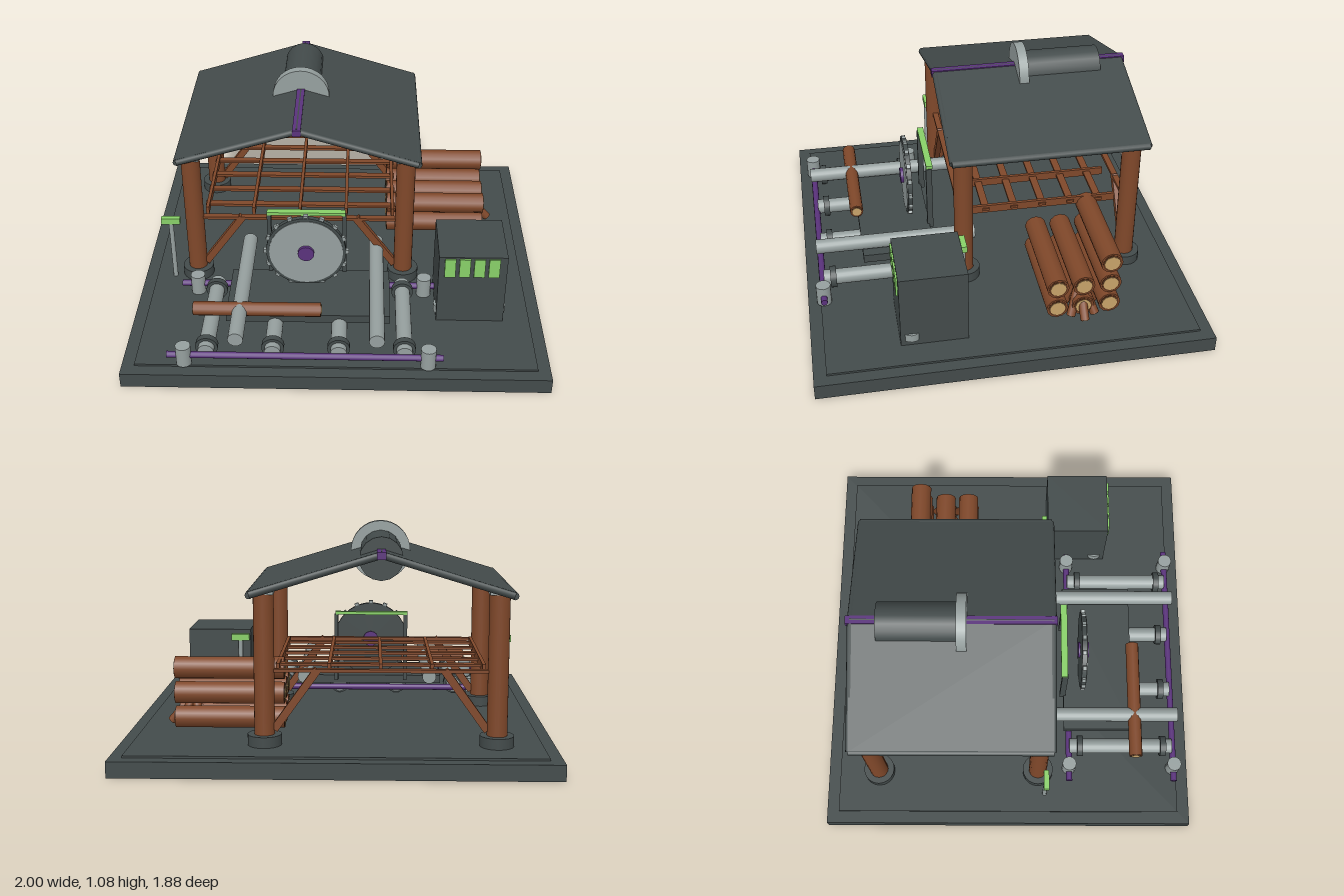
import * as THREE from 'three';

const paint = (name, color) => {
  const m = new THREE.MeshStandardMaterial({ color });
  m.name = name;
  return m;
};

export function createModel() {
  const root = new THREE.Group();
  root.name = 'sawmill';
  const dark = paint('dark slate', 0x434b4b);
  const wood = paint('brown wood', 0x80482a);
  const bark = paint('dark bark', 0x5a341c);
  const tan = paint('cut wood', 0xc8a46a);
  const grey = paint('light metal', 0x96a09f);
  const purple = paint('purple metal', 0x5a327c);
  const green = paint('green', 0x88d068);

  const add = (name, geo, mat, x = 0, y = 0, z = 0, parent = root) => {
    const m = new THREE.Mesh(geo, mat);
    m.name = name;
    m.position.set(x, y, z);
    parent.add(m);
    return m;
  };
  // Box given by its limits on each axis
  const box = (name, mat, x0, x1, y0, y1, z0, z1) =>
    add(name, new THREE.BoxGeometry(x1 - x0, y1 - y0, z1 - z0), mat,
      (x0 + x1) / 2, (y0 + y1) / 2, (z0 + z1) / 2);
  // Cylinder between two points
  const rod = (name, mat, a, b, r, sides = 16) => {
    const p = new THREE.Vector3(...a), q = new THREE.Vector3(...b);
    const d = q.clone().sub(p);
    const m = add(name, new THREE.CylinderGeometry(r, r, d.length(), sides), mat);
    m.position.copy(p.add(q).multiplyScalar(0.5));
    m.quaternion.setFromUnitVectors(new THREE.Vector3(0, 1, 0), d.normalize());
    return m;
  };
  // Log with bark rims and pale cut ends
  const log = (name, a, b, r) => {
    const p = new THREE.Vector3(...a), q = new THREE.Vector3(...b);
    const d = q.clone().sub(p).normalize();
    const at = (v, s) => v.clone().addScaledVector(d, s).toArray();
    rod(name, wood, a, b, r, 12);
    rod(name + 'Rim', bark, at(p, -0.002), at(q, 0.002), r * 0.85, 12);
    rod(name + 'End', tan, at(p, -0.004), at(q, 0.004), r * 0.7, 12);
  };

  // Ground slab
  box('baseSlab', dark, -1, 1, 0, 0.075, -0.94, 0.94);
  box('floorPlate', dark, -0.94, 0.94, 0.075, 0.085, -0.88, 0.88);

  // Shelter posts, feet, caps and braces
  const cx = -0.2;
  for (const s of [-1, 1]) {
    const x = cx + s * 0.528;
    for (const z of [0.155, -0.673]) {
      rod('post', wood, [x, 0.08, z], [x, 0.79, z], 0.047, 20);
      rod('postFoot', dark, [x, 0.08, z], [x, 0.135, z], 0.078, 20);
      box('postCap', grey, x - 0.048, x + 0.048, 0.78, 0.801, z - 0.048, z + 0.048);
      const brace = box('brace', wood, -0.018, 0.018, -0.17, 0.17, -0.015, 0.015);
      brace.position.set(cx + s * 0.385, 0.295, z);
      brace.rotation.z = s * 0.62;
    }
  }

  // Ceiling lattice
  for (const x of [-0.67, -0.435, -0.2, 0.035, 0.27])
    box('latticeBeam', wood, x - 0.008, x + 0.008, 0.41, 0.45, -0.62, 0.1);
  for (let i = 0; i < 5; i++) {
    const z = 0.035 - i * 0.1425;
    box('latticeSlat', wood, -0.685, 0.285, 0.424, 0.437, z - 0.018, z + 0.018);
  }
  for (const z of [0.155, -0.673])
    box('tieBeam', wood, -0.72, 0.32, 0.422, 0.437, z - 0.015, z + 0.015);

  // Gable roof
  const gable = new THREE.Shape([[0, 0.975], [-0.59, 0.797], [-0.59, 0.765], [0, 0.943], [0.59, 0.765], [0.59, 0.797]]
    .map(([x, y]) => new THREE.Vector2(x, y)));
  add('roof', new THREE.ExtrudeGeometry(gable, { depth: 0.96, bevelEnabled: false }), dark, cx, 0, -0.745);
  for (const s of [-1, 1]) {
    const x = cx + s * 0.585;
    rod('eaveRoll', dark, [x, 0.781, -0.745], [x, 0.781, 0.215], 0.018, 12);
    // Rolled gable edges
    for (const z of [-0.74, 0.21])
      rod('gableRoll', dark, [cx, 0.959, z], [x, 0.781, z], 0.017, 10);
  }
  box('ridgeBeam', purple, cx - 0.02, cx + 0.02, 0.94, 0.974, -0.765, 0.23);
  // Roof duct
  rod('roofDuct', dark, [cx, 0.93, -0.62], [cx, 0.93, -0.24], 0.1, 16);
  rod('ductFlange', grey, [cx, 0.932, -0.243], [cx, 0.932, -0.195], 0.143, 32);

  // Toothed saw blade
  const bx = -0.155, by = 0.39;
  const rim = rod('bladeRim', dark, [bx, by, 0.37], [bx, by, 0.395], 0.195, 40);
  rim.name = 'bladeRim';
  rod('bladeDisc', grey, [bx, by, 0.372], [bx, by, 0.399], 0.18, 40);
  rod('bladeHub', purple, [bx, by, 0.36], [bx, by, 0.415], 0.04, 20);
  for (let i = 0; i < 16; i++) {
    const a = i * Math.PI / 8;
    const tooth = add('bladeTooth', new THREE.BoxGeometry(0.022, 0.022, 0.02), grey,
      bx + Math.cos(a) * 0.197, by + Math.sin(a) * 0.197, 0.383);
    tooth.rotation.z = a;
  }
  // Blade guard frame
  for (const x of [-0.34, 0.03])
    box('guardPost', dark, x - 0.01, x + 0.01, 0.18, 0.537, 0.27, 0.3);
  box('guardBar', green, -0.35, 0.035, 0.537, 0.553, 0.265, 0.298);

  // Work bed and long beams
  box('workBed', dark, -0.53, 0.255, 0.16, 0.203, 0.29, 0.65);
  for (const x of [-0.46, 0.19])
    rod('bedBeam', grey, [x, 0.24, 0.08], [x, 0.24, 0.88], 0.036, 20);
  log('bedLog', [-0.68, 0.243, 0.657], [-0.075, 0.243, 0.657], 0.034);

  // Conveyor rollers with collars
  for (const x of [-0.605, -0.295, 0.013, 0.32]) {
    rod('roller', grey, [x, 0.145, 0.32], [x, 0.145, 0.855], 0.038, 20);
    for (const z of [0.375, 0.808])
      rod('rollerCollar', dark, [x, 0.145, z - 0.015], [x, 0.145, z + 0.015], 0.053, 20);
  }
  // Conveyor rails and end bollards
  for (const z of [0.318, 0.862]) {
    rod('rail', purple, [-0.787, 0.133, z], [0.5, 0.133, z], 0.016, 12);
    for (const x of [-0.708, 0.43])
      rod('bollard', grey, [x, 0.085, z], [x, 0.187, z], 0.036, 16);
  }

  // Control cabinet
  box('cabinet', dark, 0.483, 0.81, 0.085, 0.465, 0.208, 0.528);
  for (let i = 0; i < 4; i++) {
    const x = 0.537 + i * 0.07;
    box('cabinetPanel', green, x - 0.026, x + 0.026, 0.355, 0.457, 0.528, 0.537);
  }
  for (const x of [0.515, 0.778])
    rod('cabinetBumper', grey, [x, 0.11, 0.475], [x, 0.15, 0.475], 0.045, 16);

  // Signal posts
  for (const x of [-0.845, 0.535]) {
    rod('signalPost', grey, [x, 0.08, 0.19], [x, 0.415, 0.19], 0.012, 12);
    box('signalHead', green, x - 0.047, x + 0.047, 0.41, 0.443, 0.177, 0.203);
  }

  // Log stack
  const stack = [[-0.225, 0.163], [-0.35, 0.163], [-0.478, 0.163],
    [-0.225, 0.28], [-0.35, 0.28], [-0.478, 0.28], [-0.478, 0.4]];
  for (const [z, y] of stack) log('stackLog', [0.25, y, z], [0.765, y, z], 0.053);

  // Leaning offcuts at the end of the stack
  for (let i = 0; i < 7; i++) {
    const a = i * Math.PI * 2 / 7, c = Math.cos(a), s = Math.sin(a);
    log('offcut', [0.69 + c * 0.12, 0.11, -0.35 + s * 0.075],
      [0.69 + c * 0.02, 0.225, -0.35 + s * 0.02], 0.022);
  }
  return root;
}
